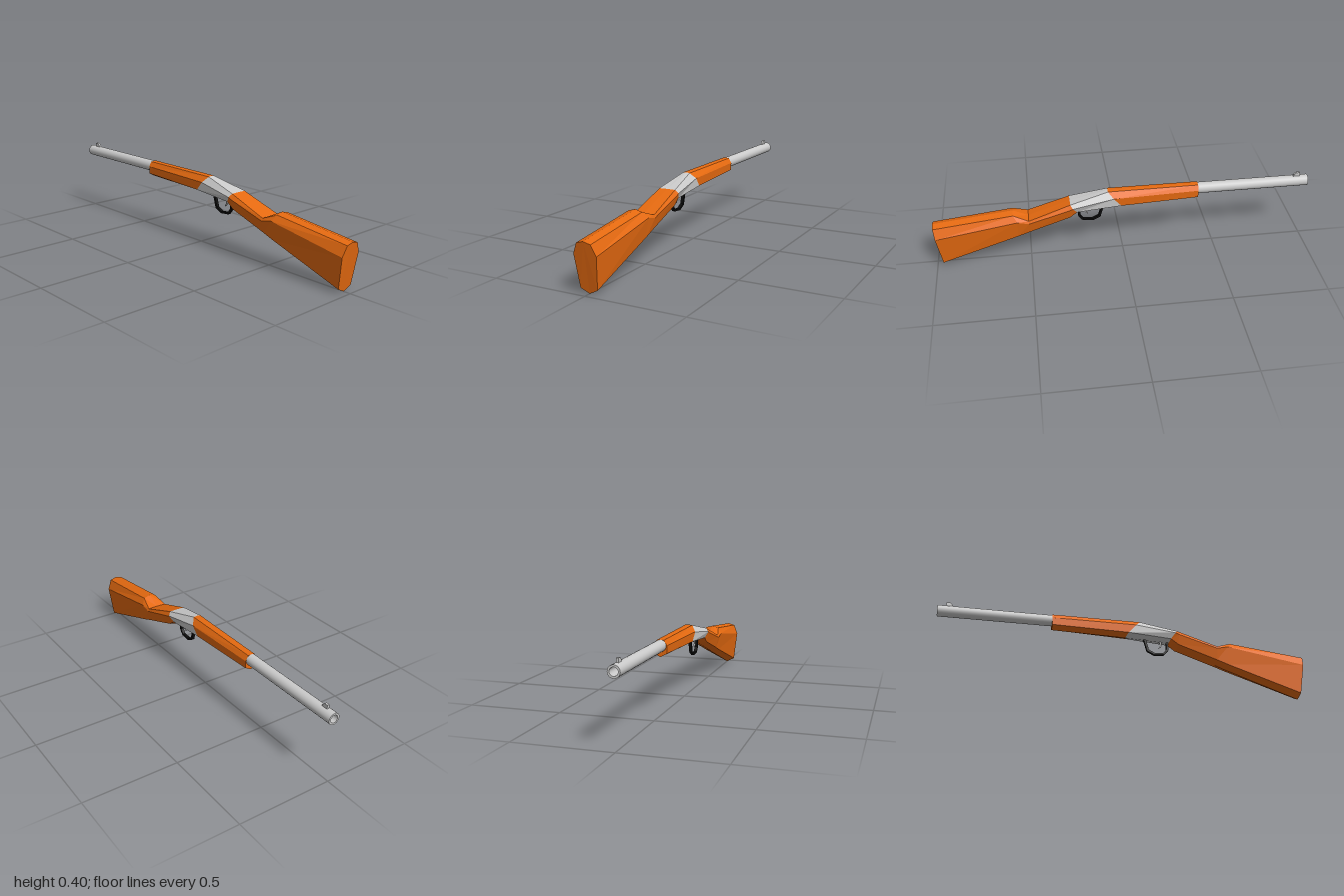
import * as THREE from 'three';

const flat = (color) => new THREE.MeshStandardMaterial({ color, flatShading: true });
const wood = flat(0xe66a10);
const steel = flat(0xcccccc);
const black = flat(0x0c0c0c);
const barrelSteel = new THREE.MeshStandardMaterial({ color: 0xcccccc });

// Mirrors half a cross-section [top centre, top edge, side, lower edge, keel] into an 8-point ring
function ring(half) {
  const mirrored = half.slice(1, 4).reverse().map(([x, y, z]) => [-x, y, z]);
  return half.concat(mirrored);
}

// Skins rings running from back (+z) to front (-z) and caps both ends
function loft(halves) {
  const rings = halves.map(ring);
  const n = rings[0].length;
  const positions = [];
  const tri = (a, b, c) => positions.push(...a, ...b, ...c);
  for (let i = 0; i < rings.length - 1; i++) {
    for (let j = 0; j < n; j++) {
      const k = (j + 1) % n;
      const [a, b, c, d] = [rings[i][j], rings[i][k], rings[i + 1][k], rings[i + 1][j]];
      tri(a, b, d);
      tri(b, c, d);
    }
  }
  const first = rings[0];
  const last = rings[rings.length - 1];
  for (let j = 1; j < n - 1; j++) {
    tri(first[0], first[j + 1], first[j]);
    tri(last[0], last[j], last[j + 1]);
  }
  const geometry = new THREE.BufferGeometry();
  geometry.setAttribute('position', new THREE.Float32BufferAttribute(positions, 3));
  geometry.computeVertexNormals();
  return geometry;
}

// Extrudes a side profile of [z, y] points, centred across x
function sideProfile(points, width) {
  const shape = new THREE.Shape(points.map(([z, y]) => new THREE.Vector2(z, y)));
  const geometry = new THREE.ExtrudeGeometry(shape, { depth: width, bevelEnabled: false });
  return geometry.translate(0, 0, -width / 2).rotateY(-Math.PI / 2);
}

export function createModel() {
  const model = new THREE.Group();
  const add = (name, geometry, material) => {
    const mesh = new THREE.Mesh(geometry, material);
    mesh.name = name;
    model.add(mesh);
  };

  // Sections shared by neighbouring parts
  const receiverRear = [
    [0, 0.335, 0.28], [0.045, 0.334, 0.28], [0.06, 0.316, 0.268], [0.045, 0.285, 0.245], [0, 0.276, 0.24]];
  const receiverFront = [
    [0, 0.383, 0.08], [0.02, 0.381, 0.08], [0.045, 0.35, 0.052], [0.042, 0.303, 0.012], [0, 0.288, 0.0]];

  // Butt, raised comb, wrist and the notch behind the receiver
  add('stock', loft([
    [[0, 0.25, 1.0], [0.037, 0.24, 0.998], [0.06, 0.187, 0.99], [0.045, 0.025, 0.967], [0, 0.003, 0.963]],
    [[0, 0.298, 0.58], [0.037, 0.288, 0.58], [0.06, 0.258, 0.56], [0.045, 0.16, 0.56], [0, 0.144, 0.56]],
    [[0, 0.26, 0.5], [0.054, 0.258, 0.5], [0.06, 0.244, 0.5], [0.045, 0.182, 0.5], [0, 0.167, 0.5]],
    [[0, 0.332, 0.288], [0.045, 0.331, 0.288], [0.06, 0.308, 0.287], [0.045, 0.255, 0.285], [0, 0.243, 0.285]],
    receiverRear,
  ]), wood);

  add('receiver', loft([receiverRear, receiverFront]), steel);

  add('forend', loft([
    receiverFront,
    [[0, 0.383, -0.4], [0.018, 0.381, -0.4], [0.034, 0.355, -0.4], [0.033, 0.315, -0.4], [0, 0.297, -0.4]],
  ]), wood);

  // Hollow barrel, with corners doubled so the muzzle edges stay sharp
  const profile = [
    [0.03, 0], [0.03, 0.62], [0.03, 0.62], [0.02, 0.62], [0.02, 0.62], [0.02, 0.5], [0.02, 0.5], [0, 0.5],
  ].map(([r, l]) => new THREE.Vector2(r, l));
  const barrel = new THREE.LatheGeometry(profile, 24);
  barrel.rotateX(-Math.PI / 2).translate(0, 0.353, -0.38);
  add('barrel', barrel, barrelSteel);

  add('frontSight', sideProfile(
    [[-0.92, 0.378], [-0.926, 0.392], [-0.938, 0.403], [-0.957, 0.403], [-0.957, 0.378]], 0.012), steel);

  // Angular trigger guard loop
  const outer = [[0.238, 0.285], [0.238, 0.232], [0.215, 0.204], [0.16, 0.199], [0.12, 0.219], [0.1, 0.29]];
  const inner = [[0.113, 0.29], [0.13, 0.227], [0.163, 0.209], [0.21, 0.213], [0.227, 0.236], [0.227, 0.285]];
  add('triggerGuard', sideProfile([...outer, ...inner], 0.016), black);

  // Curved trigger
  add('trigger', sideProfile([
    [0.195, 0.29], [0.202, 0.268], [0.2, 0.253], [0.188, 0.241],
    [0.186, 0.245], [0.194, 0.256], [0.194, 0.268], [0.183, 0.29]], 0.008), steel);

  return model;
}
